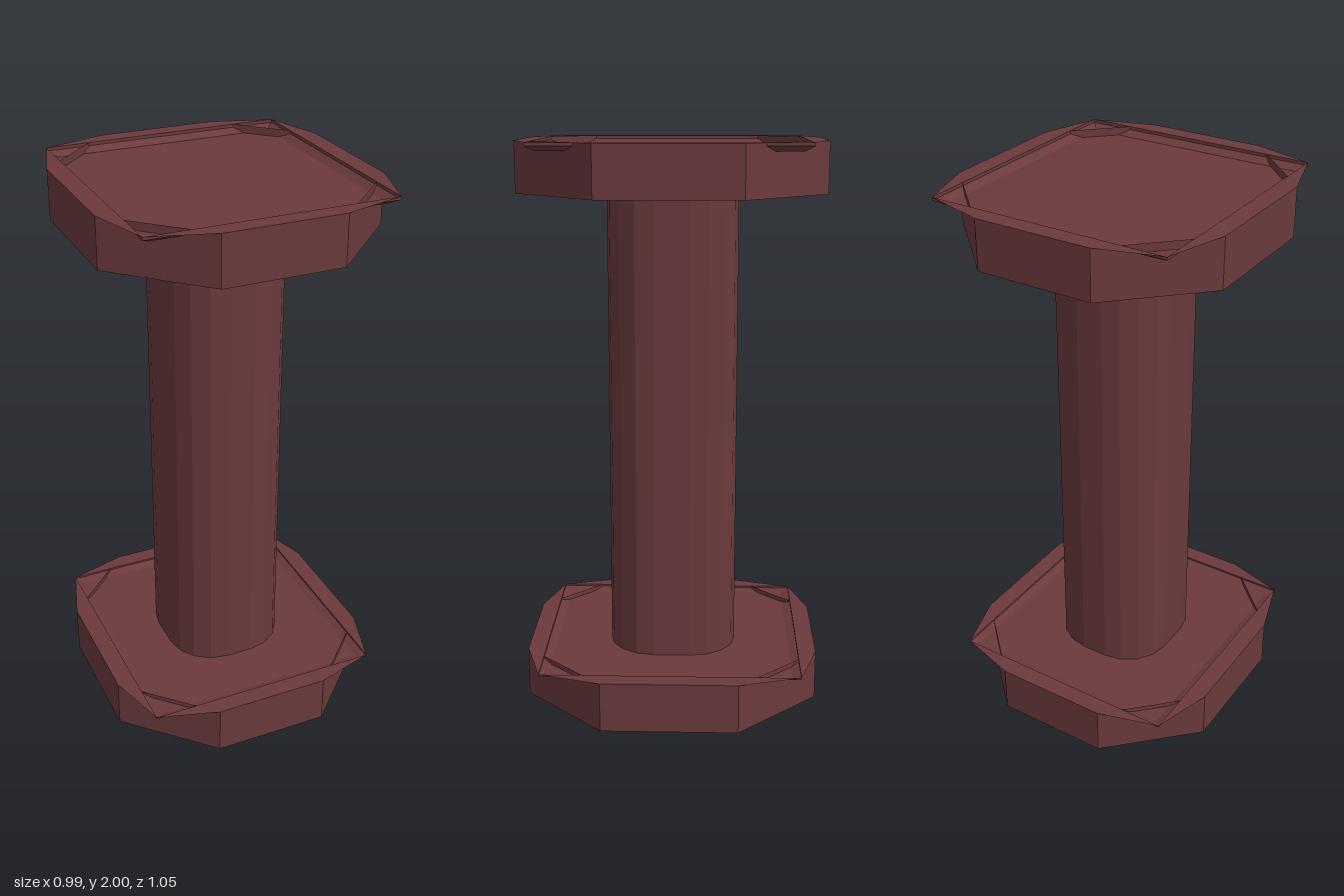
import * as THREE from 'three';

const material = new THREE.MeshStandardMaterial({
  color: 0x6b3a3c, flatShading: true, side: THREE.DoubleSide,
});

// Horizontal loops run counter-clockwise seen from above
const rectLoop = (x, z, y) =>
  [[x, z], [x, -z], [-x, -z], [-x, z]].map(([px, pz]) => [px, y, pz]);

const octLoop = (y) => [
  [0.497, 0.24], [0.497, -0.24], [0.21, -0.525], [-0.21, -0.525],
  [-0.497, -0.24], [-0.497, 0.24], [-0.21, 0.525], [0.21, 0.525],
].map(([x, z]) => [x, y, z]);

// Collects convex polygons as triangle fans
function polygonsToGeometry(polygons) {
  const positions = [];
  for (const p of polygons)
    for (let i = 1; i < p.length - 1; i++) positions.push(...p[0], ...p[i], ...p[i + 1]);
  const geometry = new THREE.BufferGeometry();
  geometry.setAttribute('position', new THREE.Float32BufferAttribute(positions, 3));
  geometry.computeVertexNormals();
  return geometry;
}

// Quads joining two loops of equal length
const strip = (a, b) => a.map((p, i) => {
  const j = (i + 1) % a.length;
  return [p, a[j], b[j], b[i]];
});

// Octagonal block whose rectangular tray has corners that poke past the chamfers
function makePlate(name, bottom, top, depth) {
  const group = new THREE.Group();
  group.name = name;
  const add = (partName, polygons) => {
    const mesh = new THREE.Mesh(polygonsToGeometry(polygons), material);
    mesh.name = partName;
    group.add(mesh);
  };

  const low = octLoop(bottom), high = octLoop(top);
  add('plateBody', [...strip(low, high), [...low].reverse()]);

  // Flat rim: one trapezoid per side, narrowing to the tray corners
  const edge = rectLoop(0.43, 0.46, top);
  add('plateRim', edge.map((corner, i) =>
    [corner, high[2 * i], high[2 * i + 1], edge[(i + 1) % 4]]));

  // Sunken tray: short upright wall, bevel and floor
  const step = rectLoop(0.43, 0.46, top - depth * 0.4);
  const floor = rectLoop(0.4, 0.43, top - depth);
  add('plateTray', [...strip(edge, step), ...strip(step, floor), floor]);
  return group;
}

// Upright column with faceted rounded corners
function makeColumn(bottom, top) {
  const halfX = 0.215, halfZ = 0.23, radius = 0.167, segments = 4;
  const shape = new THREE.Shape();
  const points = [];
  [[1, 1], [-1, 1], [-1, -1], [1, -1]].forEach(([sx, sz], quarter) => {
    for (let i = 0; i <= segments; i++) {
      const a = (quarter + i / segments) * Math.PI / 2;
      points.push(new THREE.Vector2(
        sx * (halfX - radius) + radius * Math.cos(a),
        sz * (halfZ - radius) + radius * Math.sin(a)));
    }
  });
  shape.setFromPoints(points);
  const geometry = new THREE.ExtrudeGeometry(shape, { depth: top - bottom, bevelEnabled: false });
  geometry.rotateX(-Math.PI / 2).translate(0, bottom, 0);
  const mesh = new THREE.Mesh(geometry, material);
  mesh.name = 'column';
  return mesh;
}

export function createModel() {
  const model = new THREE.Group();
  model.name = 'pillar';
  model.add(
    makePlate('basePlate', 0, 0.178, 0.018),
    makeColumn(0.16, 1.826),
    makePlate('topPlate', 1.825, 2, 0.028),
  );
  return model;
}
